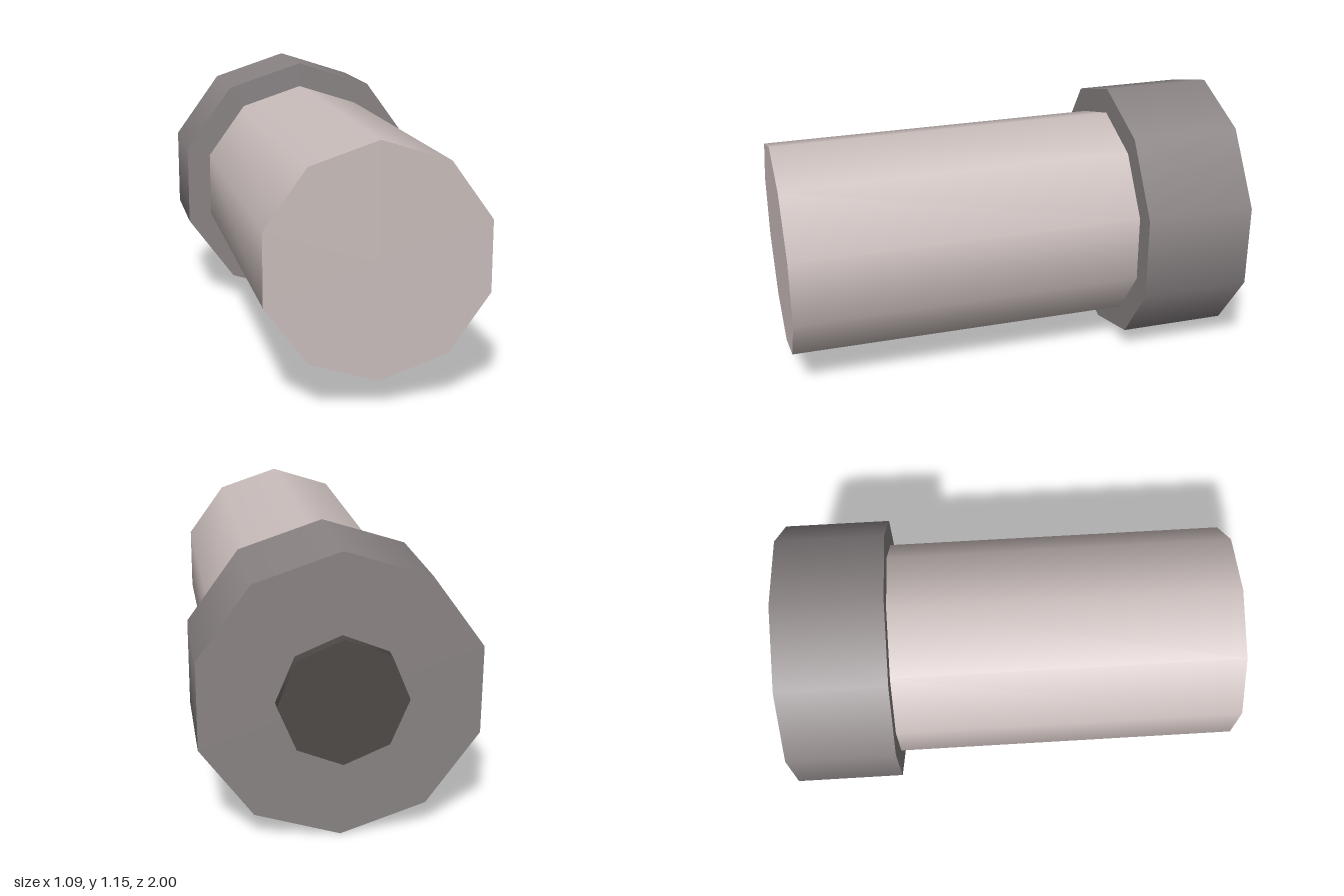
import * as THREE from 'three';

const CENTRE_Y = 0.574;

// Closed, smooth-sided prism lying along z with one corner pointing up
function drum(name, radius, sides, zBack, zFront, material) {
  const geometry = new THREE.CylinderGeometry(radius, radius, zFront - zBack, sides);
  geometry.rotateX(-Math.PI / 2);
  const mesh = new THREE.Mesh(geometry, material);
  mesh.name = name;
  mesh.position.set(0, CENTRE_Y, (zBack + zFront) / 2);
  return mesh;
}

export function createModel() {
  const paleGrey = new THREE.MeshStandardMaterial({ name: 'paleGrey', color: 0xcbbfbd });
  const midGrey = new THREE.MeshStandardMaterial({ name: 'midGrey', color: 0x8b8485 });
  const darkGrey = new THREE.MeshStandardMaterial({ name: 'darkGrey', color: 0x4f4a47 });

  const group = new THREE.Group();
  group.name = 'cappedCylinder';
  group.add(
    drum('barrel', 0.464, 10, -0.485, 1, paleGrey),
    drum('collar', 0.574, 10, -0.95, -0.485, midGrey),
    drum('endButton', 0.253, 8, -1, -0.95, darkGrey),
  );
  return group;
}
